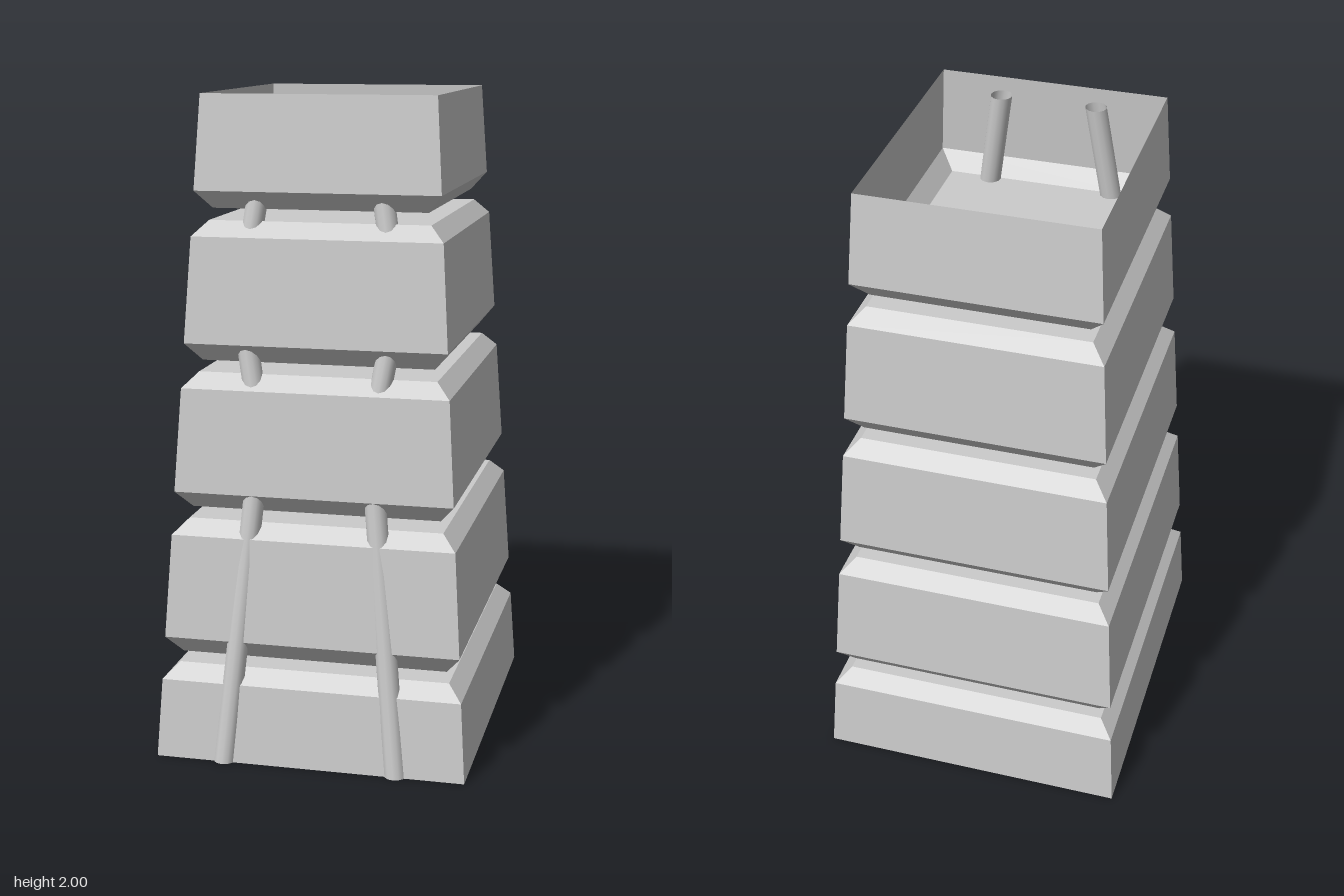
import * as THREE from 'three';

const CENTRE_Z = -0.006;
const TOP_INSET = 0.041, BOTTOM_INSET = 0.048;

// Half width and half depth of the tapering tower at height y
const halfX = y => 0.476 - 0.063 * y;
const halfZ = y => 0.55 - 0.0725 * y;

// Corners of the rectangular section at height y, pulled in by inset
function ring(y, inset) {
  const x = halfX(y) - inset, z = halfZ(y) - inset;
  return [[-x, z], [x, z], [x, -z], [-x, -z]].map(([a, b]) => [a, y, b + CENTRE_Z]);
}

// Flat faced shell through a stack of rings, with optional floor and lid
function shell(rings, floor, lid) {
  const pos = [];
  const quad = (a, b, c, d) => pos.push(...a, ...b, ...c, ...a, ...c, ...d);
  for (let i = 0; i < rings.length - 1; i++) {
    for (let k = 0; k < 4; k++) {
      const n = (k + 1) % 4;
      quad(rings[i][k], rings[i][n], rings[i + 1][n], rings[i + 1][k]);
    }
  }
  if (floor) quad(...rings[0].slice().reverse());
  if (lid) quad(...rings[rings.length - 1]);
  const g = new THREE.BufferGeometry();
  g.setAttribute('position', new THREE.Float32BufferAttribute(pos, 3));
  g.computeVertexNormals();
  return g;
}

// Open pipe between two points, sheared so that its ends stay level
function pipe(a, b, radius) {
  const h = b.y - a.y;
  const g = new THREE.CylinderGeometry(radius, radius, h, 12, 1, true);
  g.translate(0, h / 2, 0);
  const m = new THREE.Matrix4().set(
    1, (b.x - a.x) / h, 0, a.x,
    0, 1, 0, a.y,
    0, (b.z - a.z) / h, 1, a.z,
    0, 0, 0, 1
  );
  return g.applyMatrix4(m);
}

export function createModel() {
  const group = new THREE.Group();
  const grey = new THREE.MeshStandardMaterial({ color: 0xcccccc, side: THREE.DoubleSide });
  grey.name = 'light grey';

  const add = (name, geometry) => {
    const mesh = new THREE.Mesh(geometry, grey);
    mesh.name = name;
    group.add(mesh);
  };

  // Tiers: foot, lower bevel, upper bevel and top heights (null where there is no bevel)
  const tiers = [
    [null, 0, 0.243, 0.288],
    [0.32, 0.376, 0.693, 0.738],
    [0.772, 0.825, 1.138, 1.183],
    [1.217, 1.272, 1.587, 1.632],
    [1.667, 1.72, 2, null],
  ];
  tiers.forEach(([foot, low, high, top], i) => {
    const rings = [ring(low, 0), ring(high, 0)];
    if (foot !== null) rings.unshift(ring(foot, BOTTOM_INSET));
    if (top !== null) rings.push(ring(top, TOP_INSET));
    add(`tier${i + 1}`, shell(rings, foot !== null, top !== null));
  });

  // Kinked pipes that run up through all tiers near the front
  const path = [[0.265, 0], [0.167, 1], [0.235, 1.4], [0.147, 1.97]];
  for (const side of [1, -1]) {
    const points = path.map(([x, y]) => new THREE.Vector3(side * x, y, 0.531 - 0.098 * y));
    for (let i = 0; i < points.length - 1; i++) {
      add(`${side > 0 ? 'left' : 'right'}Pipe${i + 1}`, pipe(points[i], points[i + 1], 0.033));
    }
  }
  return group;
}
